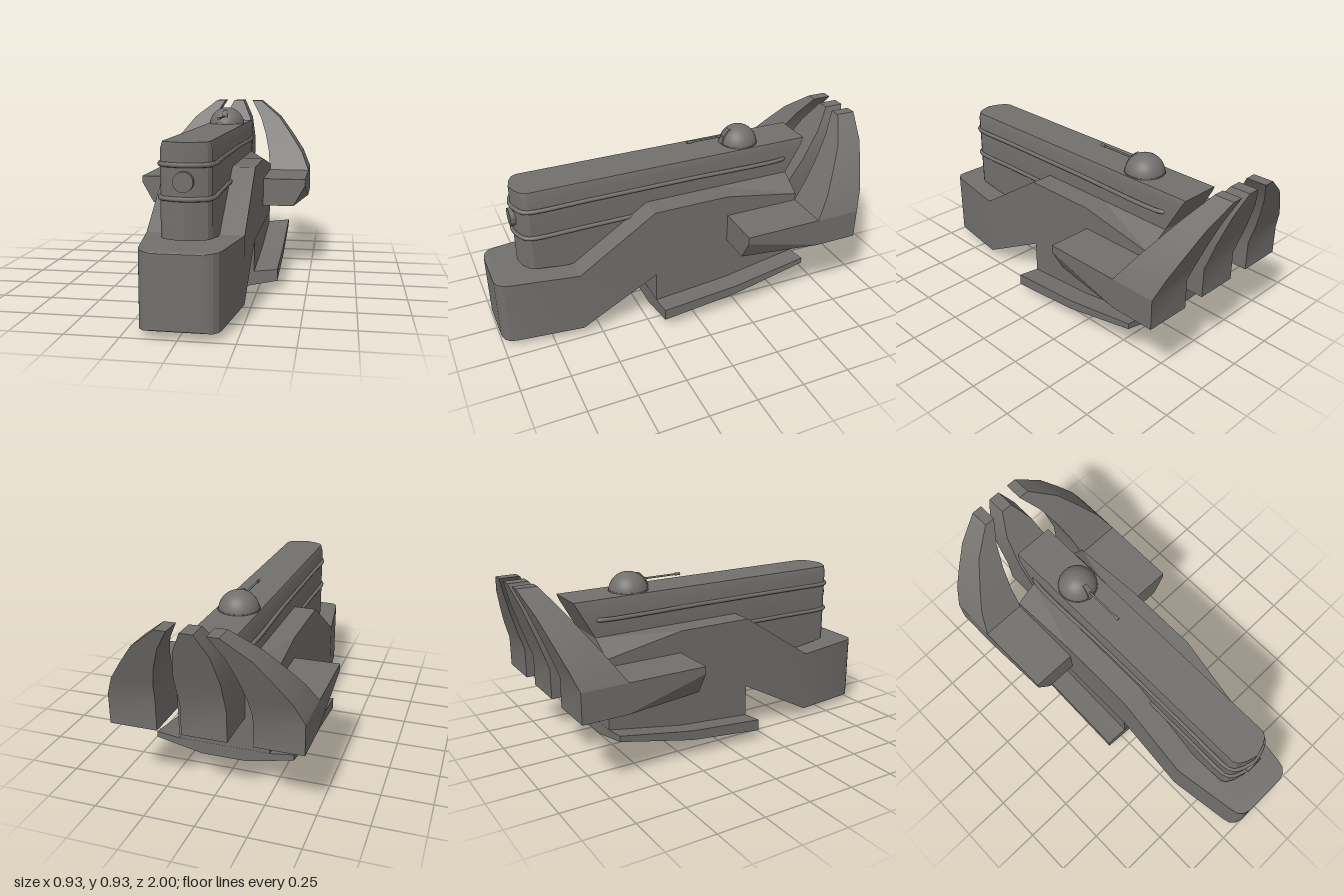
import * as THREE from 'three';
import { toCreasedNormals } from 'three/addons/utils/BufferGeometryUtils.js';

// Skin a list of rings (each counter-clockwise about the direction of travel) and cap both ends
function loft(rings, crease = 0.4) {
  const pos = [];
  const tri = (a, b, c) => pos.push(...a, ...b, ...c);
  const n = rings[0].length;
  for (let r = 0; r < rings.length - 1; r++) {
    const a = rings[r], b = rings[r + 1];
    for (let i = 0; i < n; i++) {
      const j = (i + 1) % n;
      tri(a[i], a[j], b[j]);
      tri(a[i], b[j], b[i]);
    }
  }
  const first = rings[0], last = rings[rings.length - 1];
  for (let i = 1; i < n - 1; i++) {
    tri(first[0], first[i + 1], first[i]);
    tri(last[0], last[i], last[i + 1]);
  }
  const geo = new THREE.BufferGeometry();
  geo.setAttribute('position', new THREE.Float32BufferAttribute(pos, 3));
  return toCreasedNormals(geo, crease);
}

const mirrorRings = (rings) => rings.map((r) => r.map(([x, y, z]) => [-x, y, z]).reverse());

// Horizontal rectangle for lofts that travel upwards
const slab = (y, x0, x1, zFront, zBack) =>
  [[x0, y, zFront], [x1, y, zFront], [x1, y, zBack], [x0, y, zBack]];

export function createModel() {
  const model = new THREE.Group();
  const grey = new THREE.MeshStandardMaterial({ color: 0x72706d });
  grey.name = 'hull grey';
  const add = (name, geo, parent = model) => {
    const mesh = new THREE.Mesh(geo, grey);
    mesh.name = name;
    parent.add(mesh);
    return mesh;
  };

  // Main hull: z, half width, bottom, outer top, inner top
  const hull = [
    [-0.62, 0.232, 0.265, 0.565, 0.64],
    [-0.21, 0.232, 0.265, 0.64, 0.641],
    [0.19, 0.232, 0.265, 0.64, 0.641],
    [0.595, 0.232, 0.047, 0.375, 0.376],
    [0.93, 0.182, 0.038, 0.381, 0.382],
    [0.965, 0.172, 0.037, 0.381, 0.382],
    [0.988, 0.15, 0.037, 0.38, 0.381],
    [0.997, 0.125, 0.04, 0.377, 0.378],
    [1.0, 0.112, 0.043, 0.374, 0.375],
  ].map(([z, w, b, to, ti]) => {
    const m = Math.min(0.115, w * 0.8);
    return [[-w, b, z], [w, b, z], [w, to, z], [m, ti, z], [-m, ti, z], [-w, to, z]];
  });
  add('hull', loft(hull));

  // Keel plate: z, middle bottom, edge bottom, edge top
  const keel = [
    [-0.62, 0.14, 0.19, 0.22],
    [-0.22, 0.045, 0.1, 0.15],
    [0.19, 0.004, 0.055, 0.115],
  ].map(([z, m, b, t]) => [
    [-0.115, m, z], [0.115, m, z], [0.35, b, z], [0.35, t, z],
    [0.23, t - 0.015, z], [-0.23, t - 0.015, z], [-0.35, t, z], [-0.35, b, z],
  ]);
  add('keelPlate', loft(keel, 0.15));

  // Block joining the keel plate to the hull
  const joint = [[-0.619, 0.19], [-0.22, 0.12], [0.189, 0.08]].map(([z, b]) =>
    [[-0.23, b, z], [0.23, b, z], [0.23, 0.27, z], [-0.23, 0.27, z]]);
  add('keelJoint', loft(joint));

  // Upper deck: rounded front, raked stern, bevelled roof
  const half = [[0.115, 0.59], [0.115, 0.79], [0.1, 0.815], [0.06, 0.836]];
  const deckRing = (zBack, inset, yOf) => {
    const right = half.map(([x, z]) => [x - inset * (x / 0.115), z]);
    const plan = [[-0.115 + inset, zBack], ...right.map(([x, z]) => [-x, z]),
      [0, 0.852], ...right.reverse(), [0.115 - inset, zBack]];
    return plan.map(([x, z]) => [x, yOf(x, z), z]);
  };
  add('upperDeck', loft([
    deckRing(-0.62, 0, (x, z) => (z > 0.6 ? 0.398 : 0.37)),
    deckRing(-0.62, 0, () => 0.64),
    deckRing(-0.703, 0, (x, z) => 0.79 + (z > 0.8 ? 0.03 * (1 - Math.abs(x) / 0.115) : 0)),
    deckRing(-0.72, 0.01, () => 0.823),
  ], 0.45));

  // Rails wrapped around the deck
  for (const [name, y] of [['upperRail', 0.725], ['lowerRail', 0.578]]) {
    const side = [[0.1, -0.61], [0.118, -0.59], [0.118, 0], [0.118, 0.5], [0.118, 0.78],
      [0.102, 0.817], [0.06, 0.84]];
    const path = [...side.map(([x, z]) => new THREE.Vector3(x, y, z)), new THREE.Vector3(0, y, 0.853),
      ...side.slice().reverse().map(([x, z]) => new THREE.Vector3(-x, y, z))];
    const curve = new THREE.CatmullRomCurve3(path, false, 'centripetal');
    add(name, new THREE.TubeGeometry(curve, 160, 0.011, 8));
  }

  // Round port on the bow
  const port = add('bowPort', toCreasedNormals(new THREE.CylinderGeometry(0.045, 0.045, 0.06, 32), 0.6));
  port.rotation.x = Math.PI / 2;
  port.position.set(0, 0.655, 0.837);

  // Curved tail claws and the side arms that carry them
  // y, inner x, outer x, front z, back z
  const claw = [
    [0.375, 0.23, 0.465, -0.62, -0.855],
    [0.527, 0.23, 0.465, -0.62, -0.855],
    [0.63, 0.216, 0.42, -0.69, -0.892],
    [0.73, 0.19, 0.35, -0.758, -0.927],
    [0.835, 0.15, 0.27, -0.83, -0.963],
    [0.937, 0.087, 0.142, -0.9, -1.0],
  ].map((s) => slab(...s));
  const arm = [[-0.625, 0.464, 0.377], [-0.215, 0.4, 0.49]].map(([z, xb, yb]) =>
    [[0.2, 0.375, z], [xb, 0.375, z], [0.465, yb, z], [0.465, 0.527, z], [0.2, 0.527, z]]);
  for (const side of ['left', 'right']) {
    const flip = side === 'left' ? (r) => r : mirrorRings;
    add(side + 'Claw', loft(flip(claw)));
    add(side + 'Arm', loft(flip(arm), 0.1));
  }

  // Centre tail fin
  const fin = [
    [0.375, 0.11, -0.61, -0.855],
    [0.527, 0.11, -0.62, -0.855],
    [0.69, 0.108, -0.731, -0.913],
    [0.83, 0.083, -0.827, -0.962],
    [0.937, 0.03, -0.9, -1.0],
  ].map(([y, w, zf, zb]) => slab(y, -w, w, zf, zb));
  add('centreFin', loft(fin));

  // Domed turret
  const turret = new THREE.Group();
  turret.name = 'turret';
  turret.position.set(0, 0.815, -0.38);
  model.add(turret);
  add('dome', new THREE.SphereGeometry(0.1, 32, 14, 0, Math.PI * 2, 0, Math.PI / 2), turret);
  const skirt = add('turretSkirt', toCreasedNormals(new THREE.CylinderGeometry(0.101, 0.104, 0.03, 32), 0.6), turret);
  skirt.position.y = -0.002;
  add('gunMantlet', loft([
    slab(0.015, -0.019, 0.019, 0.106, 0.06),
    slab(0.055, -0.015, 0.015, 0.094, 0.05),
    slab(0.088, -0.011, 0.011, 0.06, 0.03),
  ], 0.3), turret);
  for (const [name, r, z0, z1] of [['barrel', 0.005, 0.05, 0.295], ['muzzle', 0.0075, 0.27, 0.297]]) {
    const gun = add(name, toCreasedNormals(new THREE.CylinderGeometry(r, r, z1 - z0, 12), 0.6), turret);
    gun.rotation.x = Math.PI / 2;
    gun.position.set(0, 0.053, (z0 + z1) / 2);
  }
  return model;
}
